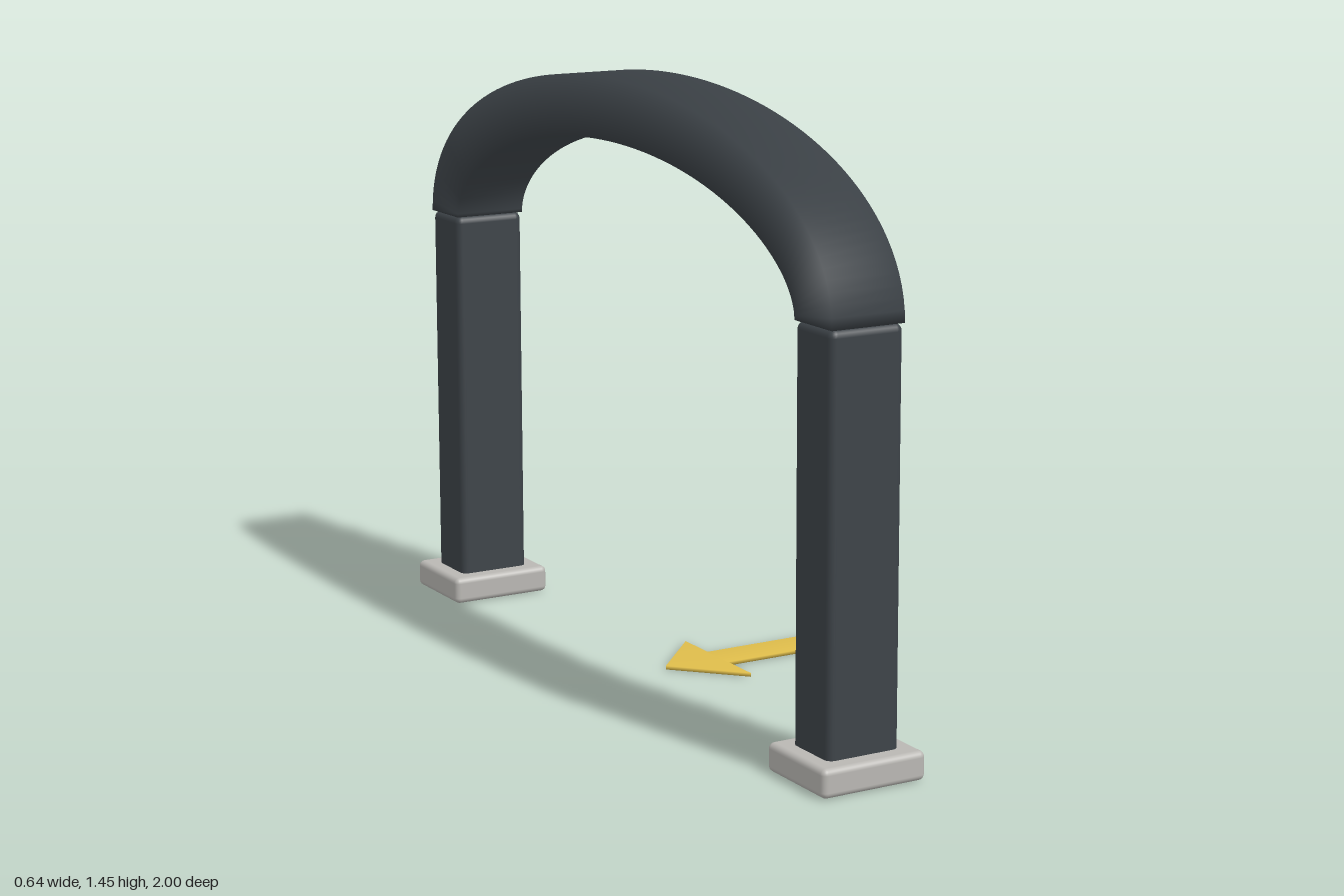
import * as THREE from 'three';
import { mergeVertices } from 'three/addons/utils/BufferGeometryUtils.js';
import { RoundedBoxGeometry } from 'three/addons/geometries/RoundedBoxGeometry.js';

const mat = (name, color) => new THREE.MeshStandardMaterial({ name, color });

// Rectangular section swept along the half-ellipse between angles t0 and t1
function archSweep(t0, t1, steps, x0, x1, half) {
  const RZ = 0.882, RY = 0.362, Y0 = 1.01;
  const pos = [], idx = [];
  for (let i = 0; i <= steps; i++) {
    const t = t0 + (t1 - t0) * i / steps;
    const c = Math.cos(t), s = Math.sin(t);
    const n = new THREE.Vector2(c / RZ, s / RY).normalize();
    for (const [x, h] of [[x0, -half], [x1, -half], [x1, half], [x0, half]]) {
      pos.push(x, Y0 + RY * s + n.y * h, RZ * c + n.x * h);
    }
  }
  for (let i = 0; i < steps; i++) {
    for (let j = 0; j < 4; j++) {
      const a = i * 4 + j, b = i * 4 + (j + 1) % 4;
      idx.push(a, a + 4, b, b, a + 4, b + 4);
    }
  }
  const e = steps * 4;
  idx.push(0, 1, 2, 0, 2, 3, e, e + 2, e + 1, e, e + 3, e + 2);
  const g = new THREE.BufferGeometry();
  g.setAttribute('position', new THREE.Float32BufferAttribute(pos, 3));
  g.setIndex(idx);
  g.computeVertexNormals();
  return g;
}

// Thin flat plate on the ground from an (x, z) outline, with softened normals
function groundPlate(points) {
  const shape = new THREE.Shape(points.map(([x, z]) => new THREE.Vector2(x, -z)));
  let g = new THREE.ExtrudeGeometry(shape, { depth: 0.009, bevelEnabled: false });
  g.rotateX(-Math.PI / 2);
  g.deleteAttribute('normal');
  g.deleteAttribute('uv');
  g = mergeVertices(g);
  g.computeVertexNormals();
  return g;
}

export function createModel() {
  const model = new THREE.Group();
  model.name = 'archGate';
  const dark = mat('charcoal', 0x3d4348);
  const black = mat('darkCharcoal', 0x2d3237);
  const yellow = mat('yellow', 0xdfbd4b);
  const cream = mat('cream', 0xddd5c0);
  const stone = mat('lightGrey', 0xb9b7b3);
  const add = (parent, name, geo, material, x = 0, y = 0, z = 0) => {
    const m = new THREE.Mesh(geo, material);
    m.name = name;
    m.position.set(x, y, z);
    parent.add(m);
  };

  // Two posts with foot blocks and a ladder of small lights
  const X = -0.188;
  for (const side of [1, -1]) {
    const post = new THREE.Group();
    post.name = side > 0 ? 'frontPost' : 'backPost';
    const z = side * 0.882;
    add(post, 'foot', new RoundedBoxGeometry(0.265, 0.067, 0.232, 3, 0.014), stone, X, 0.0345, side * 0.884);
    add(post, 'column', new RoundedBoxGeometry(0.184, 1.006, 0.147, 3, 0.018), dark, X, 0.507, z);
    for (let i = 0; i < 5; i++) {
      add(post, 'light', new RoundedBoxGeometry(0.02, 0.04, 0.084, 2, 0.005), cream, -0.097, 0.17 + i * 0.169, z);
    }
    model.add(post);
  }

  // Curved top beam
  add(model, 'archBeam', archSweep(0, Math.PI, 64, -0.28, -0.096, 0.0735), dark);

  // Raised strip of alternating dashes along the beam
  const strip = new THREE.Group();
  strip.name = 'dashStrip';
  const step = Math.PI / 18;
  for (let i = 0; i < 18; i++) {
    const lit = i % 2 === 1;
    add(strip, lit ? 'yellowDash' : 'darkDash',
      archSweep(i * step, (i + 1) * step, 5, -0.106, lit ? -0.086 : -0.088, lit ? 0.021 : 0.019),
      lit ? yellow : black);
  }
  model.add(strip);

  // Direction arrow lying on the ground
  const arrow = new THREE.Group();
  arrow.name = 'groundArrow';
  add(arrow, 'arrowShaft', groundPlate([[0.01, 0.05], [0.318, 0.05], [0.318, -0.05], [0.01, -0.05]]), yellow);
  add(arrow, 'arrowHead', groundPlate([[-0.135, 0], [0.012, 0.157], [0.012, -0.157]]), yellow);
  model.add(arrow);

  return model;
}
